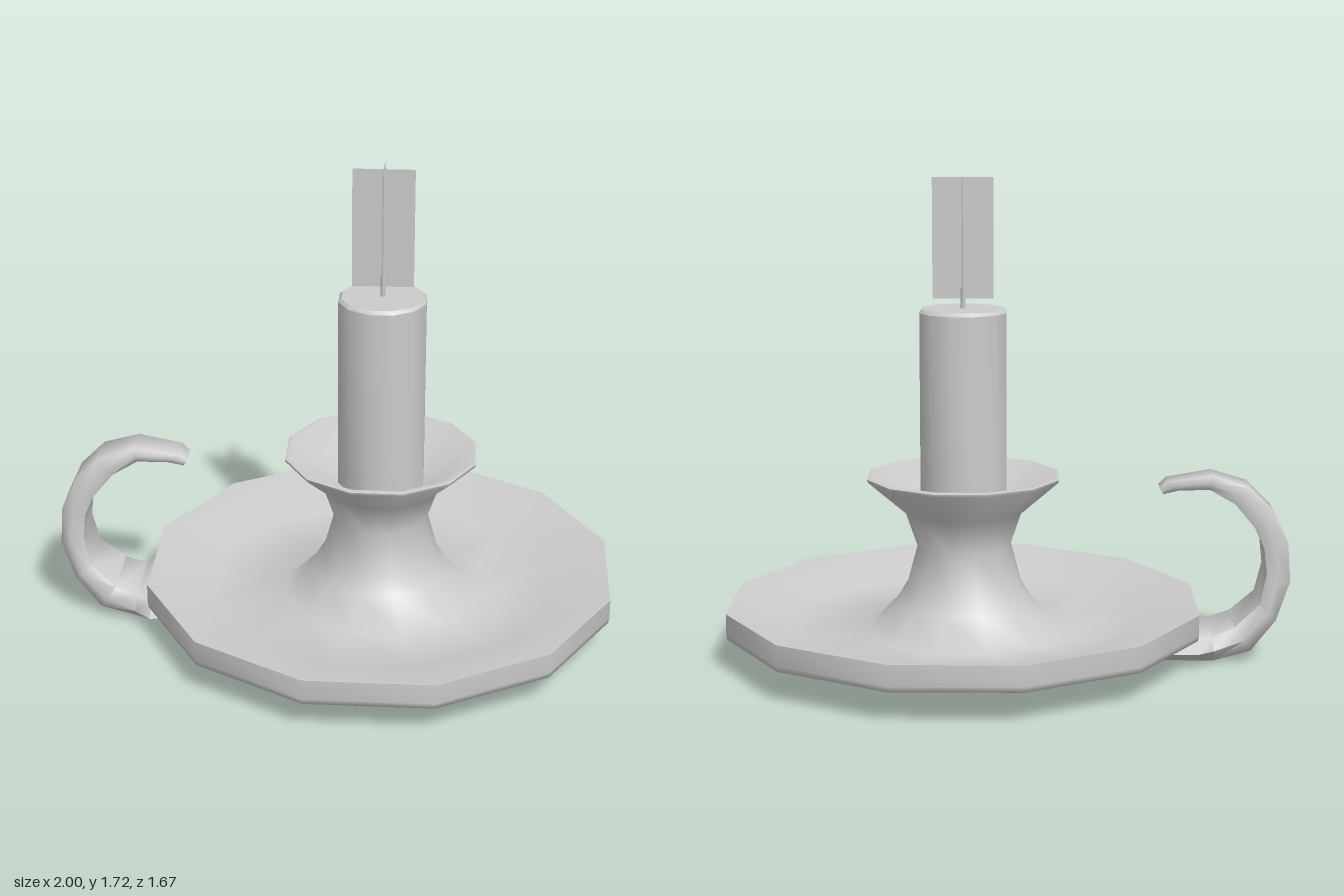
import * as THREE from 'three';
import { toCreasedNormals } from 'three/addons/utils/BufferGeometryUtils.js';

const CENTRE_X = 0.167;
const SIDES = 12;
const grey = new THREE.MeshStandardMaterial({ color: 0xcccccc });
const greyThin = new THREE.MeshStandardMaterial({ color: 0xcccccc, side: THREE.DoubleSide });

// Twelve-sided turned part; profile radii are measured to the middle of a flat side
function turned(name, profile, crease) {
  const k = 1 / Math.cos(Math.PI / SIDES);
  const points = profile.map(([r, y]) => new THREE.Vector2(r * k, y));
  const geometry = new THREE.LatheGeometry(points, SIDES, Math.PI / SIDES);
  const mesh = new THREE.Mesh(toCreasedNormals(geometry, crease), grey);
  mesh.name = name;
  mesh.position.x = CENTRE_X;
  return mesh;
}

// Curled strap lofted through six-sided sections:
// [outer x, outer y, inner x, inner y, outer half width, inner half width]
function handle() {
  const stations = [
    [-0.14, 0.0, -0.14, 0.03, 0.07, 0.08],
    [-0.667, 0.003, -0.66, 0.11, 0.12, 0.215],
    [-0.73, 0.004, -0.72, 0.10, 0.12, 0.155],
    [-0.86, 0.04, -0.80, 0.13, 0.12, 0.14],
    [-0.95, 0.15, -0.89, 0.21, 0.11, 0.125],
    [-1.0, 0.29, -0.915, 0.32, 0.095, 0.11],
    [-0.99, 0.43, -0.905, 0.41, 0.095, 0.105],
    [-0.94, 0.54, -0.875, 0.48, 0.09, 0.10],
    [-0.85, 0.63, -0.80, 0.57, 0.085, 0.09],
    [-0.72, 0.67, -0.71, 0.62, 0.075, 0.075],
    [-0.56, 0.645, -0.60, 0.615, 0.06, 0.062],
    [-0.533, 0.62, -0.545, 0.60, 0.052, 0.052],
  ];
  const positions = [];
  const index = [];
  const n = 6;
  for (const [ox, oy, ix, iy, wo, wi] of stations) {
    const mx = (ox + ix) / 2, my = (oy + iy) / 2;
    const wm = Math.max(wo, wi);
    positions.push(ox, oy, wo * 0.85, mx, my, wm, ix, iy, wi * 0.85);
    positions.push(ix, iy, -wi * 0.85, mx, my, -wm, ox, oy, -wo * 0.85);
  }
  for (let i = 0; i < stations.length - 1; i++) {
    for (let j = 0; j < n; j++) {
      const a = i * n + j, b = i * n + ((j + 1) % n);
      index.push(a, b, a + n, b, b + n, a + n);
    }
  }
  // End caps
  const last = (stations.length - 1) * n;
  for (let j = 1; j < n - 1; j++) {
    index.push(0, j + 1, j);
    index.push(last, last + j, last + j + 1);
  }
  const geometry = new THREE.BufferGeometry();
  geometry.setAttribute('position', new THREE.Float32BufferAttribute(positions, 3));
  geometry.setIndex(index);
  const mesh = new THREE.Mesh(toCreasedNormals(geometry, 1.2), grey);
  mesh.name = 'handle';
  return mesh;
}

export function createModel() {
  const model = new THREE.Group();
  model.name = 'candleHolder';

  // Dished plate rising into a waisted stem and flared cup
  model.add(turned('plateAndCup', [
    [0, 0], [0.31, 0], [0.83, 0.11], [0.833, 0.13], [0.833, 0.203], [0.822, 0.203],
    [0.6, 0.125], [0.34, 0.095], [0.24, 0.2], [0.205, 0.26], [0.165, 0.41],
    [0.205, 0.53], [0.338, 0.65], [0.34, 0.66], [0.325, 0.665], [0.17, 0.55], [0, 0.53],
  ], 1.4));

  // Candle with a narrow bevel at the top
  model.add(turned('candle', [
    [0, 0.48], [0.153, 0.48], [0.153, 1.248], [0.142, 1.26], [0, 1.26],
  ], 0.6));

  const wick = new THREE.Mesh(new THREE.CylinderGeometry(0.01, 0.01, 0.1, 6), grey);
  wick.name = 'wick';
  wick.position.set(CENTRE_X, 1.285, 0);
  model.add(wick);

  // Flame made of two crossed cards
  const flame = new THREE.Group();
  flame.name = 'flame';
  flame.position.set(CENTRE_X, 1.508, 0);
  for (const turn of [0, Math.PI / 2]) {
    const card = new THREE.Mesh(new THREE.PlaneGeometry(0.216, 0.427), greyThin);
    card.name = 'flameCard';
    card.rotation.y = turn;
    flame.add(card);
  }
  model.add(flame);

  model.add(handle());
  return model;
}
